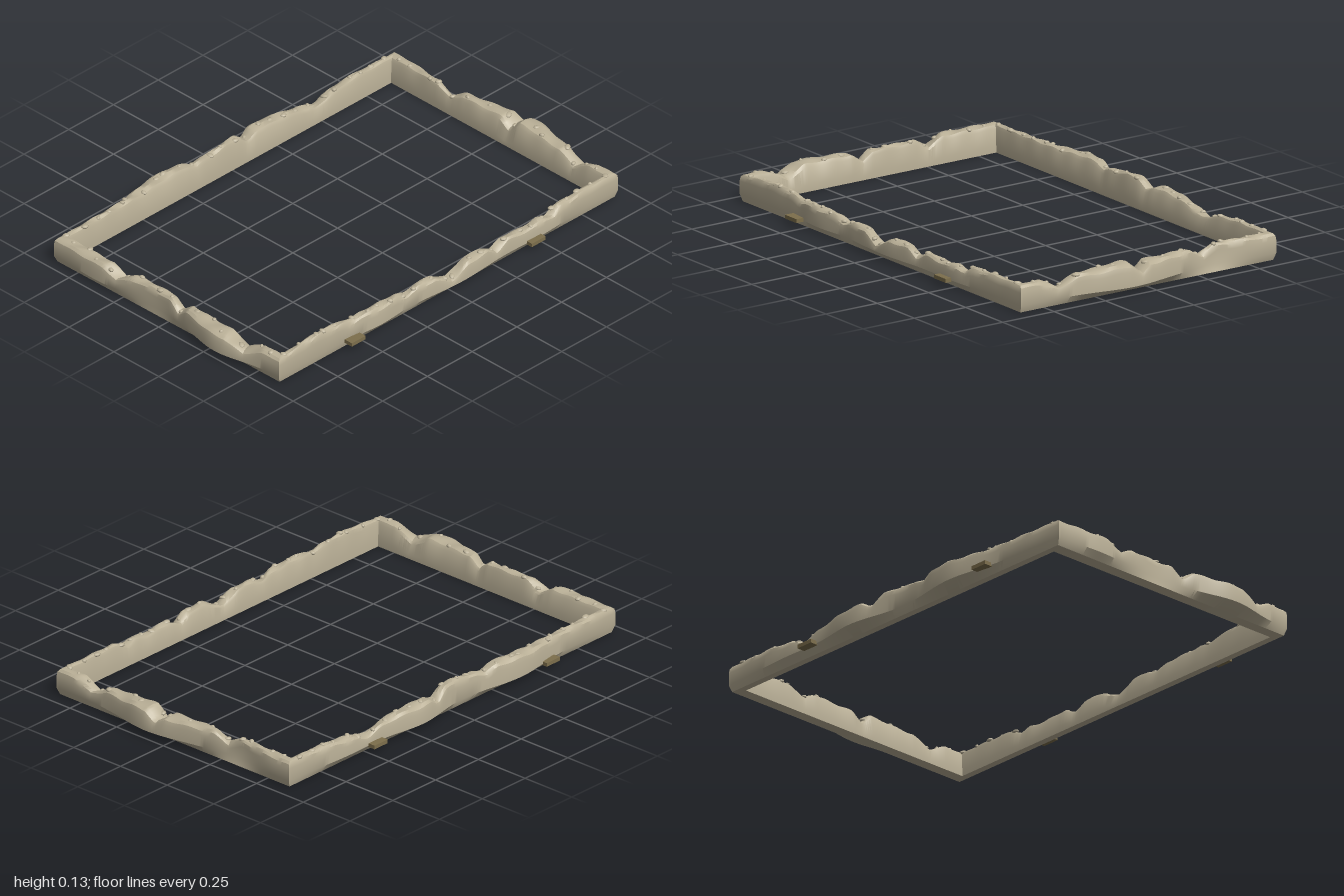
import * as THREE from 'three';
import { toCreasedNormals } from 'three/addons/utils/BufferGeometryUtils.js';

const lerp = THREE.MathUtils.lerp;

// Sums of features [centre, amount, width]: rounded swells and sharp notches
const swell = (list, x) => list.reduce((sum, [c, a, w]) => sum + a * Math.exp(-(((x - c) / w) ** 2)), 0);
const notch = (list, x) => list.reduce((sum, [c, a, w]) => sum + a * Math.max(0, 1 - Math.abs(x - c) / w), 0);

function seeded(seed) {
  return () => (seed = (seed * 16807) % 2147483647) / 2147483647;
}

// Corners in plan [x, z], travelling front, left, back, right
const inner = [[-0.893, 0.585], [0.885, 0.585], [0.885, -0.585], [-0.893, -0.585]];
const outer = [[-0.952, 0.622], [0.945, 0.622], [0.945, -0.622], [-0.963, -0.622]];
const BASE_HEIGHT = 0.112;

// Dips shared by the two short sides
const sideDips = [[-0.28, 0.036, 0.07], [0.06, 0.04, 0.05], [0.44, 0.041, 0.09]];

// Outward bulges in plan, then humps and dips of the crest
const frontRim = {
  name: 'frontRim', axis: 0, sign: 1,
  bulges: [[-0.4, 0.019, 0.13], [0.05, 0.028, 0.23], [0.5, 0.016, 0.18]],
  humps: [[-0.75, 0.014, 0.14], [0, -0.014, 0.35], [0.45, -0.02, 0.14]],
  dips: [[-0.55, 0.012, 0.05], [-0.24, 0.02, 0.06], [0, 0.042, 0.09], [0.26, 0.036, 0.06], [0.58, 0.02, 0.05]],
};
const leftRim = {
  name: 'leftRim', axis: 1, sign: 1,
  bulges: [[-0.33, -0.022, 0.13], [0.1, 0.048, 0.2]],
  humps: [[0.14, 0.013, 0.1]],
  dips: sideDips,
};
const backRim = {
  name: 'backRim', axis: 0, sign: -1,
  bulges: [[-0.75, 0.006, 0.15], [-0.37, 0.043, 0.2], [0.2, 0.042, 0.17], [0.6, 0.018, 0.22]],
  humps: [[-0.3, 0.012, 0.15], [0, 0.016, 0.08], [0.5, -0.025, 0.15]],
  dips: [[-0.2, 0.018, 0.05], [0.1, 0.03, 0.05], [0.5, 0.018, 0.08]],
};
const rightRim = {
  name: 'rightRim', axis: 1, sign: -1,
  bulges: [[-0.4, 0.008, 0.12], [-0.07, -0.016, 0.15], [0.31, 0.043, 0.16]],
  humps: [],
  dips: sideDips,
};
const sides = [frontRim, leftRim, backRim, rightRim];

// Section, inner foot to outer shoulder: [share of width, share of height]
const section = [[0, 0], [0, 0.25], [0.13, 0.84], [0.24, 0.96], [0.5, 1], [0.78, 0.98], [0.94, 0.9], [1, 0.74]];

// Point in plan on the straight line between two corners of side k
function onEdge(corners, k, t) {
  const next = corners[(k + 1) % 4];
  return corners[k].map((c, i) => lerp(c, next[i], t));
}

// Point on side k at fraction t along it, share u across and v of the height
function rimPoint(k, t, u, v) {
  const s = sides[k];
  const a = onEdge(inner, k, t), b = onEdge(outer, k, t);
  const along = b[s.axis];
  const fade = 1 - Math.abs(2 * t - 1) ** 10;
  b[1 - s.axis] += s.sign * fade * swell(s.bulges, along);
  const ripple = 0.003 * Math.sin(along * 47 + u * 5 + k);
  const h = BASE_HEIGHT + fade * (swell(s.humps, along) - notch(s.dips, along) + ripple);
  return new THREE.Vector3(lerp(a[0], b[0], u), h * v, lerp(a[1], b[1], u));
}

function rimGeometry(k) {
  const steps = 110, m = section.length + 2, pos = [], index = [];
  for (let i = 0; i <= steps; i++) {
    const t = i / steps;
    const ring = section.map(([u, v]) => rimPoint(k, t, u, v));
    // wavy belly edge, then the straight foot below the chamfer
    const belly = rimPoint(k, t, 1, 0).setY(0.03);
    const a = onEdge(inner, k, t), b = onEdge(outer, k, t);
    const foot = new THREE.Vector3(lerp(a[0], b[0], 0.8), 0, lerp(a[1], b[1], 0.8));
    ring.push(belly, foot);
    ring.forEach((p) => pos.push(p.x, p.y, p.z));
  }
  for (let i = 0; i < steps; i++) {
    for (let j = 0; j < m; j++) {
      const a = i * m + j, b = i * m + ((j + 1) % m);
      index.push(a, b, a + m, b, b + m, a + m);
    }
  }
  const g = new THREE.BufferGeometry();
  g.setAttribute('position', new THREE.Float32BufferAttribute(pos, 3));
  g.setIndex(index);
  return toCreasedNormals(g, 0.55);
}

export function createModel() {
  const model = new THREE.Group();
  model.name = 'rockyFrame';
  const stone = new THREE.MeshStandardMaterial({ color: 0xbab097 });
  stone.name = 'stone';
  const wood = new THREE.MeshStandardMaterial({ color: 0x7d6f4c });
  wood.name = 'brown';

  // Rocky rims with half-sunk pebbles on the crest
  const rand = seeded(71);
  const pebbleShape = new THREE.SphereGeometry(1, 9, 6);
  sides.forEach((side, k) => {
    const rim = new THREE.Mesh(rimGeometry(k), stone);
    rim.name = side.name;
    const pebbles = new THREE.Group();
    pebbles.name = side.name + 'Pebbles';
    const count = side.axis === 0 ? 26 : 15;
    for (let i = 0; i < count; i++) {
      const t = (i + 0.2 + 0.6 * rand()) / count, u = 0.3 + 0.45 * rand();
      const pebble = new THREE.Mesh(pebbleShape, stone);
      pebble.name = 'pebble';
      pebble.position.copy(rimPoint(k, t, u, 0.97));
      const r = 0.009 + 0.009 * rand();
      pebble.scale.set(r, 0.008, r * 0.75);
      pebble.rotation.set(0.3 * (rand() - 0.5), rand() * 6.28, 0.3 * (rand() - 0.5));
      pebbles.add(pebble);
    }
    model.add(rim, pebbles);
  });

  // Small tabs on the front and back
  for (const x of [-0.548, 0.458]) {
    for (const z of [0.635, -0.64]) {
      const tab = new THREE.Mesh(new THREE.BoxGeometry(0.077, 0.016, 0.06), wood);
      tab.name = z > 0 ? 'frontTab' : 'backTab';
      tab.position.set(x, 0.032, z);
      model.add(tab);
    }
  }
  return model;
}
